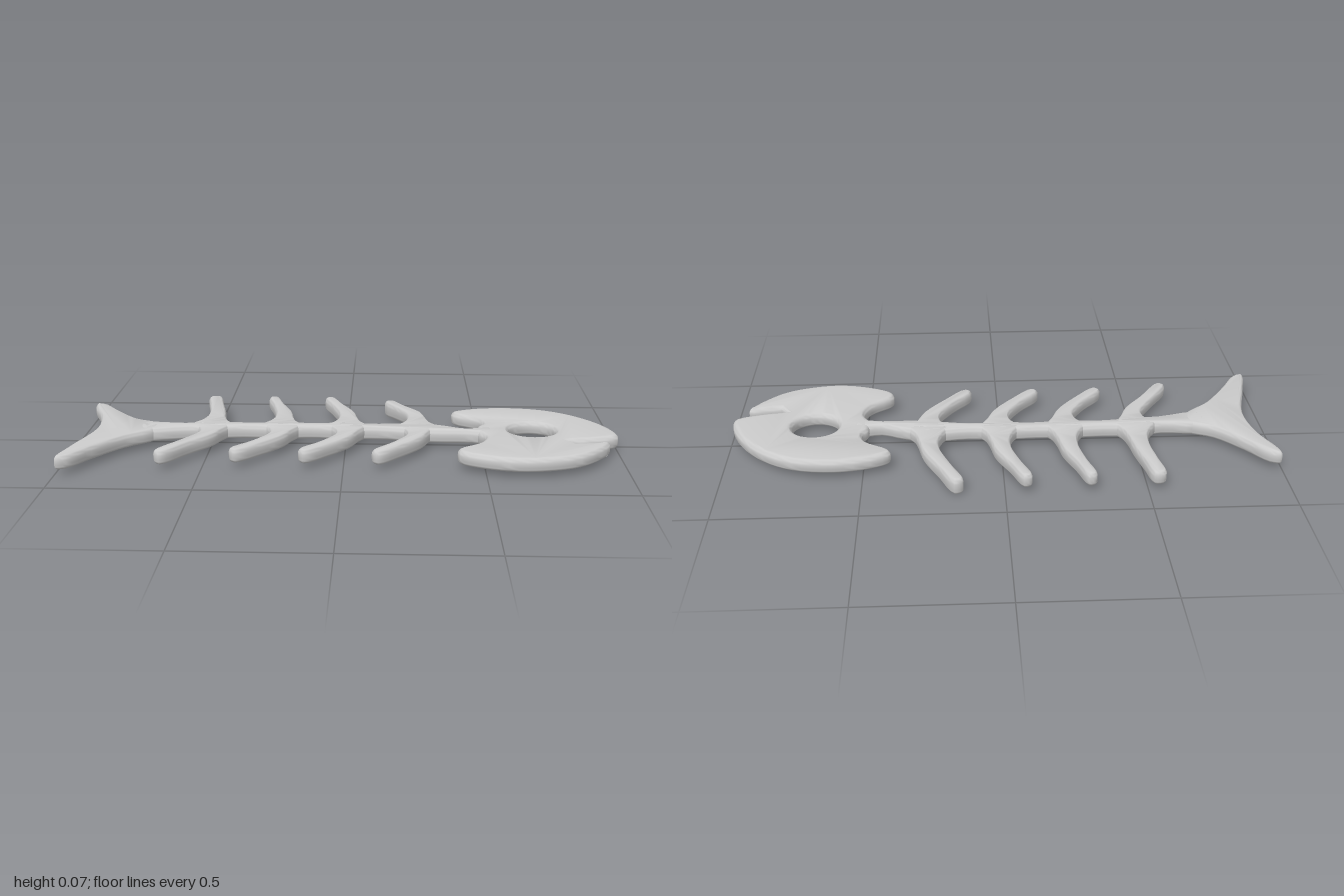
import * as THREE from 'three';
import { mergeVertices, toCreasedNormals } from 'three/addons/utils/BufferGeometryUtils.js';

const TOP = 0.073, THICK = 0.053;
const material = new THREE.MeshStandardMaterial({ color: 0xcccccc });

// Smooth curve through [x, z] points, sampled as 2D points
function smooth(points, closed = false, steps = 4) {
  const curve = new THREE.CatmullRomCurve3(points.map(([x, z]) => new THREE.Vector3(x, z, 0)), closed, 'centripetal');
  const out = curve.getPoints((closed ? points.length : points.length - 1) * steps);
  if (closed) out.pop();
  return out.map((p) => new THREE.Vector2(p.x, p.y));
}

// Flat slab with rounded rims, lying in the xz plane
function slab(name, outline, rim, hole) {
  const shape = new THREE.Shape(outline);
  if (hole) shape.holes.push(hole);
  const bevel = 0.019;
  let geo = new THREE.ExtrudeGeometry(shape, {
    depth: THICK - 2 * bevel, bevelThickness: bevel, bevelSize: rim, bevelOffset: -rim,
    bevelSegments: 4, curveSegments: 20,
  });
  geo.rotateX(Math.PI / 2);
  geo.translate(0, TOP - bevel, 0);
  geo.deleteAttribute('uv');
  geo.deleteAttribute('normal');
  geo = toCreasedNormals(mergeVertices(geo, 1e-5), 0.9);
  const mesh = new THREE.Mesh(geo, material);
  mesh.name = name;
  return mesh;
}

// Outline of a bone from stations [x, z, width] along its centre line
function bone(name, stations, rim) {
  const left = [], right = [];
  stations.forEach(([x, z, w], i) => {
    const a = stations[Math.max(i - 1, 0)], b = stations[Math.min(i + 1, stations.length - 1)];
    const dx = b[0] - a[0], dz = b[1] - a[1], k = w / 2 / Math.hypot(dx, dz);
    left.push([x - dz * k, z + dx * k]);
    right.unshift([x + dz * k, z - dx * k]);
  });
  return slab(name, smooth([...left, ...right], true), rim);
}

function backRib(x, lean, tip) {
  return bone('backRib', [
    [x, -0.01, 0.16], [x, -0.06, 0.105], [x, -0.11, 0.076], [x - 0.1 * lean, -0.18, 0.064],
    [x - 0.55 * lean, -0.28, tip + 0.014], [x - lean, -0.376, tip],
  ], 0.012);
}

function frontRib(x, reach) {
  return bone('frontRib', [
    [x, -0.01, 0.14], [x, 0.045, 0.09], [x - 0.012, 0.1, 0.066],
    [x - 0.072, 0.19, 0.05], [x - 0.152, 0.278 + reach, 0.034],
  ], 0.012);
}

export function createModel() {
  const group = new THREE.Group();
  group.name = 'fishSkeleton';

  // Head: smooth skull and jaw runs meeting in a sharp mouth notch, with an eye hole
  const skull = smooth([
    [0.485, 0.02], [0.49, -0.02], [0.51, -0.05], [0.495, -0.105], [0.41, -0.165], [0.402, -0.195], [0.47, -0.235],
    [0.6, -0.257], [0.75, -0.235], [0.86, -0.17], [0.95, -0.065], [0.995, 0.045], [0.99, 0.085],
    [0.885, 0.123], [0.803, 0.135],
  ]);
  const jaw = smooth([
    [0.83, 0.167], [0.95, 0.155], [0.945, 0.175], [0.91, 0.225], [0.83, 0.3], [0.725, 0.342], [0.607, 0.355],
    [0.485, 0.325], [0.41, 0.28], [0.405, 0.24], [0.485, 0.17], [0.51, 0.1], [0.485, 0.05],
  ]);
  const eye = new THREE.Path().absellipse(0.687, 0.018, 0.088, 0.083, 0, Math.PI * 2, true);
  group.add(slab('head', [...skull, ...jaw], 0.018, eye));

  // Spine, thinning to the neck
  group.add(bone('spine', [
    [-0.76, 0.02, 0.09], [-0.6, 0.008, 0.06], [-0.5, -0.005, 0.07], [-0.38, -0.01, 0.052], [-0.24, -0.01, 0.064],
    [-0.13, -0.013, 0.05], [0, -0.013, 0.064], [0.12, -0.01, 0.052], [0.27, -0.005, 0.09],
    [0.36, 0.012, 0.07], [0.44, 0.027, 0.038], [0.54, 0.027, 0.06],
  ], 0.014));

  // Forked tail fin
  group.add(slab('tail', smooth([
    [-0.995, -0.262], [-0.955, -0.252], [-0.88, -0.16], [-0.79, -0.065], [-0.7, -0.018], [-0.7, 0.052],
    [-0.8, 0.145], [-0.89, 0.27], [-0.955, 0.37], [-0.995, 0.382], [-0.975, 0.27], [-0.925, 0.055],
    [-0.945, -0.105], [-0.995, -0.23],
  ], true), 0.014));

  // Ribs: base x, lean and tip width of the back one, extra reach of the front one
  [[-0.5, 0.04, 0.042, 0.03], [-0.24, 0.065, 0.032, 0], [0.005, 0.085, 0.032, 0], [0.265, 0.105, 0.036, 0.005]]
    .forEach(([x, lean, tip, reach], i) => {
      const back = backRib(x, lean, tip);
      // The rib next to the head droops at its tip
      if (i === 3) {
        const p = back.geometry.attributes.position;
        for (let v = 0; v < p.count; v++) {
          const t = THREE.MathUtils.clamp((-p.getZ(v) - 0.18) / 0.16, 0, 1);
          p.setY(v, p.getY(v) - t * (p.getY(v) > 0.045 ? 0.012 : 0.02));
        }
      }
      group.add(back, frontRib(x, reach));
    });
  return group;
}
